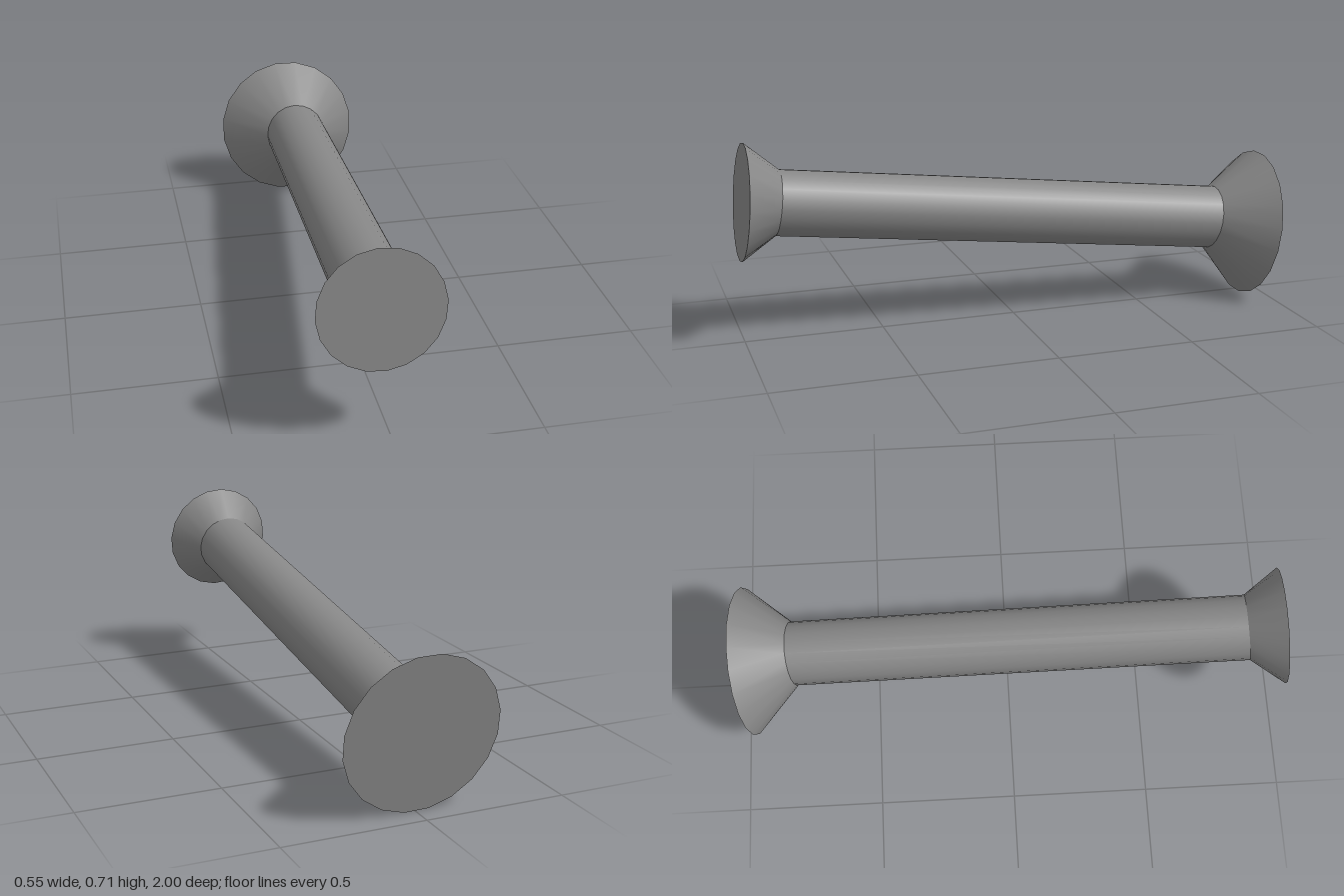
import * as THREE from 'three';

const SIDES = 20;
const deg = Math.PI / 180;

// Tilted rings from back to front: centre, radius, lean about x and twist (degrees)
const rings = [
  { c: [0, 0.272, -0.96], r: 0.277, lean: 8.4, twist: 8.2 },
  { c: [0.009, 0.308, -0.792], r: 0.119, lean: 10, twist: 1 },
  { c: [-0.043, 0.488, 0.86], r: 0.118, lean: 7.4, twist: 1 },
  { c: [-0.046, 0.498, 0.982], r: 0.209, lean: 4.9, twist: 3.6 },
];

// Point of a ring at an angle
function pointAt({ c, r, lean }, a) {
  const up = r * Math.sin(a);
  return new THREE.Vector3(
    c[0] + r * Math.cos(a),
    c[1] + up * Math.cos(lean * deg),
    c[2] - up * Math.sin(lean * deg),
  );
}

const angleOf = (ring, i) => (i / SIDES) * Math.PI * 2 + ring.twist * deg;

function makeMesh(name, positions, normals, index) {
  const geometry = new THREE.BufferGeometry();
  geometry.setAttribute('position', new THREE.Float32BufferAttribute(positions, 3));
  geometry.setAttribute('normal', new THREE.Float32BufferAttribute(normals, 3));
  geometry.setIndex(index);
  const material = new THREE.MeshStandardMaterial({ color: 0x878787, side: THREE.DoubleSide });
  const mesh = new THREE.Mesh(geometry, material);
  mesh.name = name;
  return mesh;
}

// Smooth wall between two rings, with normals square to the slanted surface
function wall(name, back, front) {
  const positions = [], normals = [], index = [];
  for (const ring of [back, front]) {
    for (let i = 0; i < SIDES; i++) {
      const a = angleOf(ring, i);
      const p = pointAt(ring, a);
      const around = pointAt(ring, a + 0.01).sub(pointAt(ring, a - 0.01));
      const slant = pointAt(front, a).sub(pointAt(back, a));
      positions.push(...p);
      normals.push(...around.cross(slant).normalize());
    }
  }
  for (let i = 0; i < SIDES; i++) {
    const j = (i + 1) % SIDES;
    index.push(i, j, SIDES + j, i, SIDES + j, SIDES + i);
  }
  return makeMesh(name, positions, normals, index);
}

// Flat disc closing a ring; facing is 1 for front, -1 for back
function cap(name, ring, facing) {
  const lean = ring.lean * deg;
  const normal = [0, facing * Math.sin(lean), facing * Math.cos(lean)];
  const positions = [...ring.c], normals = [...normal], index = [];
  for (let i = 0; i < SIDES; i++) {
    positions.push(...pointAt(ring, angleOf(ring, i)));
    normals.push(...normal);
    const a = i + 1, b = ((i + 1) % SIDES) + 1;
    index.push(0, ...(facing > 0 ? [a, b] : [b, a]));
  }
  return makeMesh(name, positions, normals, index);
}

export function createModel() {
  const model = new THREE.Group();
  model.name = 'flaredRod';
  const [backRim, shaftBack, shaftFront, frontRim] = rings;
  model.add(
    wall('backFlare', backRim, shaftBack),
    wall('shaft', shaftBack, shaftFront),
    wall('frontFlare', shaftFront, frontRim),
    cap('backDisc', backRim, -1),
    cap('frontDisc', frontRim, 1),
  );
  return model;
}
